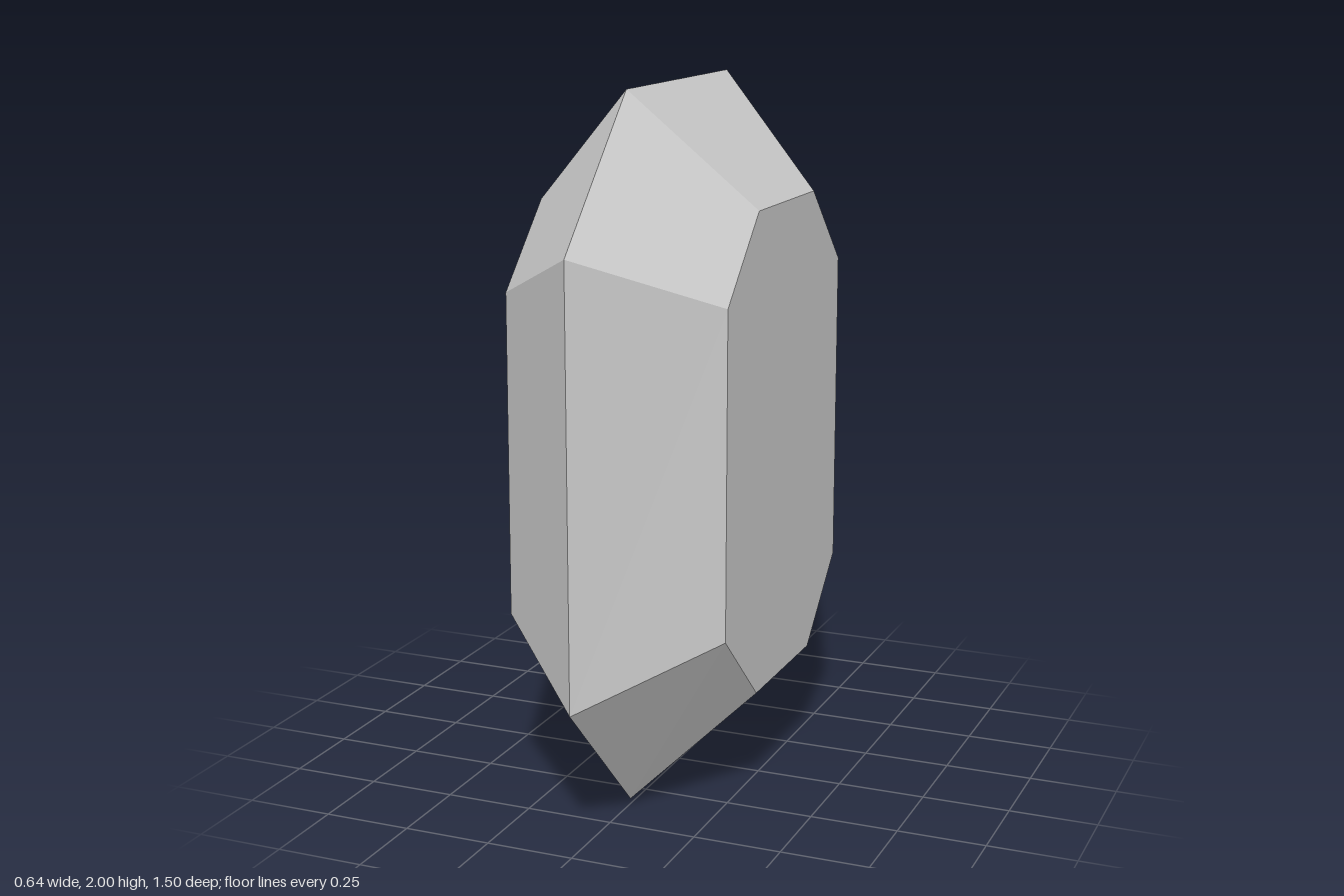
import * as THREE from 'three';

// Outlines as [z, y], going round from the top front corner
const girdle = [[0.36, 2], [-0.36, 2], [-0.75, 1.62], [-0.75, 0.4], [-0.37, 0], [0.36, 0.015], [0.75, 0.4], [0.75, 1.61]];
const table = [[0.22, 1.68], [-0.22, 1.68], [-0.45, 1.455], [-0.45, 0.55], [-0.22, 0.325], [0.21, 0.325], [0.45, 0.55], [0.445, 1.455]];
const halfWidth = 0.32;

// Fan of triangles over a convex facet; reversed on the mirrored side
function facetGeometry(polygons, side) {
  const positions = [];
  for (const polygon of polygons) {
    const p = side > 0 ? polygon : [...polygon].reverse();
    for (let i = 1; i < p.length - 1; i++) positions.push(...p[0], ...p[i], ...p[i + 1]);
  }
  const geometry = new THREE.BufferGeometry();
  geometry.setAttribute('position', new THREE.Float32BufferAttribute(positions, 3));
  geometry.computeVertexNormals();
  return geometry;
}

export function createModel() {
  const group = new THREE.Group();
  group.name = 'gem';
  const material = new THREE.MeshStandardMaterial({ color: 0xcccccc, flatShading: true });
  const add = (name, polygons, side) => {
    const mesh = new THREE.Mesh(facetGeometry(polygons, side), material);
    mesh.name = name;
    group.add(mesh);
  };

  for (const side of [1, -1]) {
    const label = side > 0 ? 'left' : 'right';
    const outer = girdle.map(([z, y]) => [0, y, z]);
    const inner = table.map(([z, y]) => [side * halfWidth, y, z]);

    // Sloping facets from the ridge to the flat face
    const bevels = outer.map((corner, i) => {
      const j = (i + 1) % outer.length;
      return [corner, inner[i], inner[j], outer[j]];
    });
    add(label + 'Bevels', bevels, side);

    // Flat octagonal face
    add(label + 'Table', [[...inner].reverse()], side);
  }
  return group;
}
